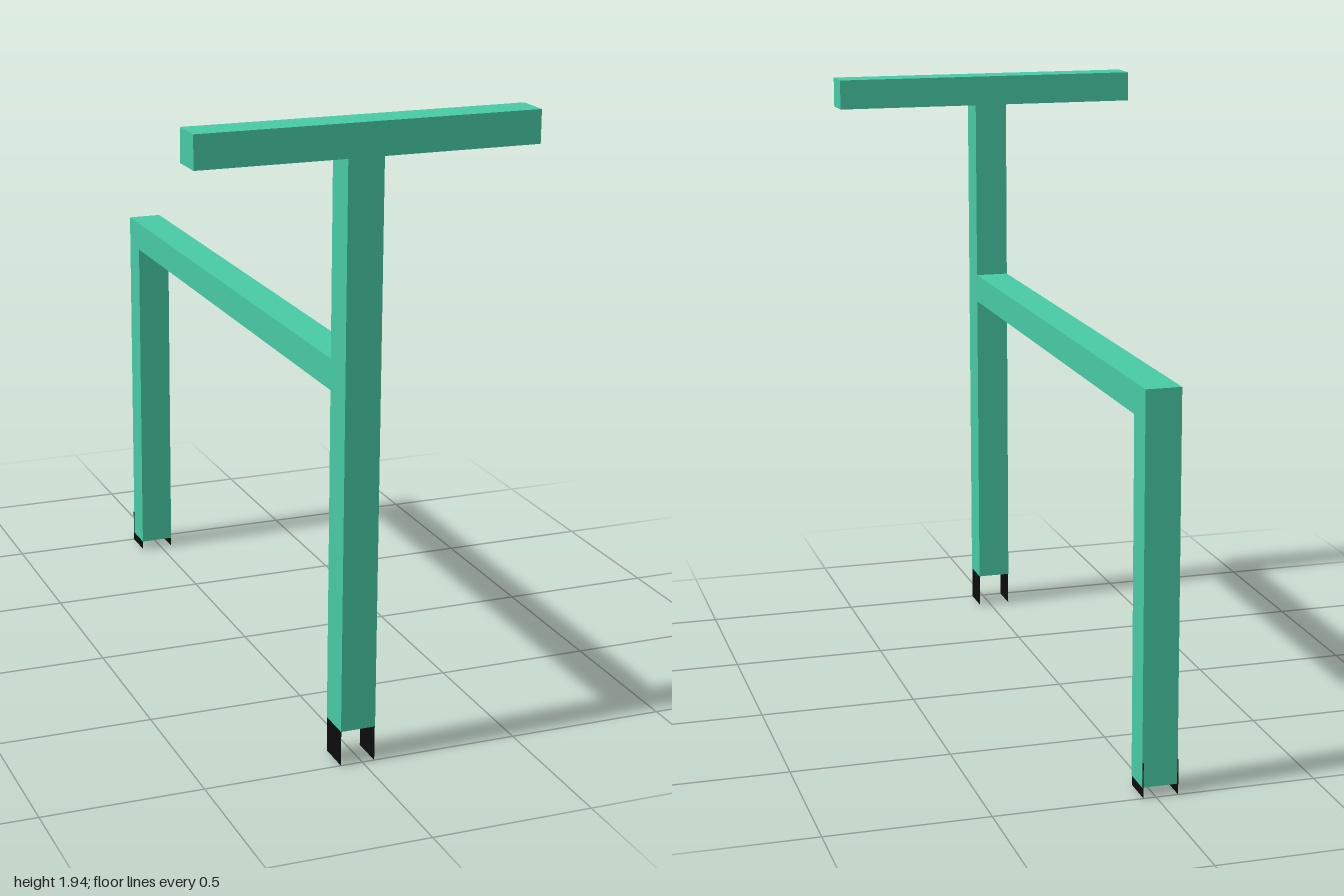
import * as THREE from 'three';

// Box given by its limits; `open` lists the faces left out (0 +x, 1 -x, 2 +y, 3 -y, 4 +z, 5 -z)
function boxBetween([x0, x1], [y0, y1], [z0, z1], open = []) {
  const geometry = new THREE.BoxGeometry(x1 - x0, y1 - y0, z1 - z0);
  const index = Array.from(geometry.index.array);
  geometry.setIndex(index.filter((_, i) => !open.includes(Math.floor(i / 6))));
  geometry.clearGroups();
  geometry.translate((x0 + x1) / 2, (y0 + y1) / 2, (z0 + z1) / 2);
  return geometry;
}

export function createModel() {
  const model = new THREE.Group();
  model.name = 'tFrame';

  const green = new THREE.MeshStandardMaterial({ color: 0x48caa5, side: THREE.DoubleSide });
  green.name = 'green';
  const black = new THREE.MeshStandardMaterial({ color: 0x0c0c0c, side: THREE.DoubleSide });
  black.name = 'black';

  const add = (name, geometry, material) => {
    const mesh = new THREE.Mesh(geometry, material);
    mesh.name = name;
    model.add(mesh);
    return mesh;
  };

  const post = [-0.07, 0.04]; // shared width of legs and beam
  const front = [0.89, 1];
  const back = [-0.99, -0.89];

  // Frame: the legs are hollow and open underneath
  add('handlebar', boxBetween([-0.522, 0.522], [1.84, 1.94], front), green);
  add('frontLeg', boxBetween(post, [0.11, 1.84], front, [2, 3]), green);
  add('beam', boxBetween(post, [1.14, 1.235], [-0.99, 0.89], [4]), green);
  add('backLeg', boxBetween(post, [0.03, 1.14], back, [2, 3]), green);

  // Flat square wheel plates, one on each side of each leg
  for (const [end, z] of [['front', 0.945], ['back', -0.945]]) {
    for (const [side, x] of [['Left', post[1] - 0.001], ['Right', post[0] + 0.001]]) {
      const plate = add(`${end}${side}Wheel`, new THREE.PlaneGeometry(0.11, 0.11), black);
      plate.rotation.y = side === 'Left' ? Math.PI / 2 : -Math.PI / 2;
      plate.position.set(x, 0.055, z);
    }
  }

  return model;
}
